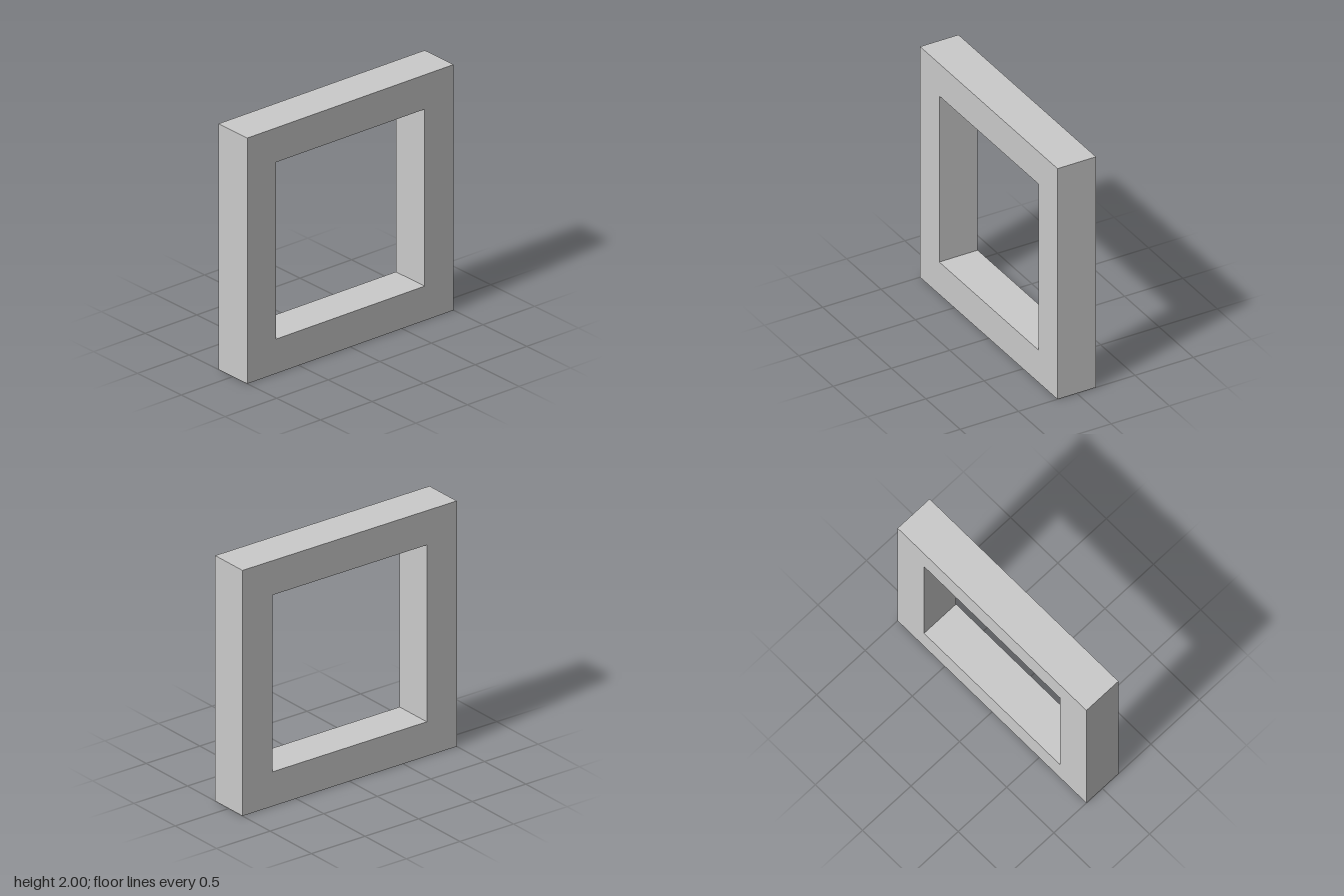
import * as THREE from 'three';

const SIZE = 2;        // outer side of the frame
const OPENING = 1.44;  // side of the square hole
const DEPTH = 0.33;    // front to back

// Corner points of a square centred on the origin
function squarePoints(side) {
  const h = side / 2;
  return [[-h, -h], [h, -h], [h, h], [-h, h]].map(([x, y]) => new THREE.Vector2(x, y));
}

export function createModel() {
  const group = new THREE.Group();
  group.name = 'squareFrame';

  // Square outline with a square opening, extruded front to back
  const outline = new THREE.Shape(squarePoints(SIZE));
  outline.holes.push(new THREE.Path(squarePoints(OPENING).reverse()));
  const geometry = new THREE.ExtrudeGeometry(outline, { depth: DEPTH, bevelEnabled: false });
  geometry.translate(0, SIZE / 2, -DEPTH / 2);

  const material = new THREE.MeshStandardMaterial({ color: 0xcccccc, flatShading: true });
  const frame = new THREE.Mesh(geometry, material);
  frame.name = 'frame';
  group.add(frame);
  return group;
}
